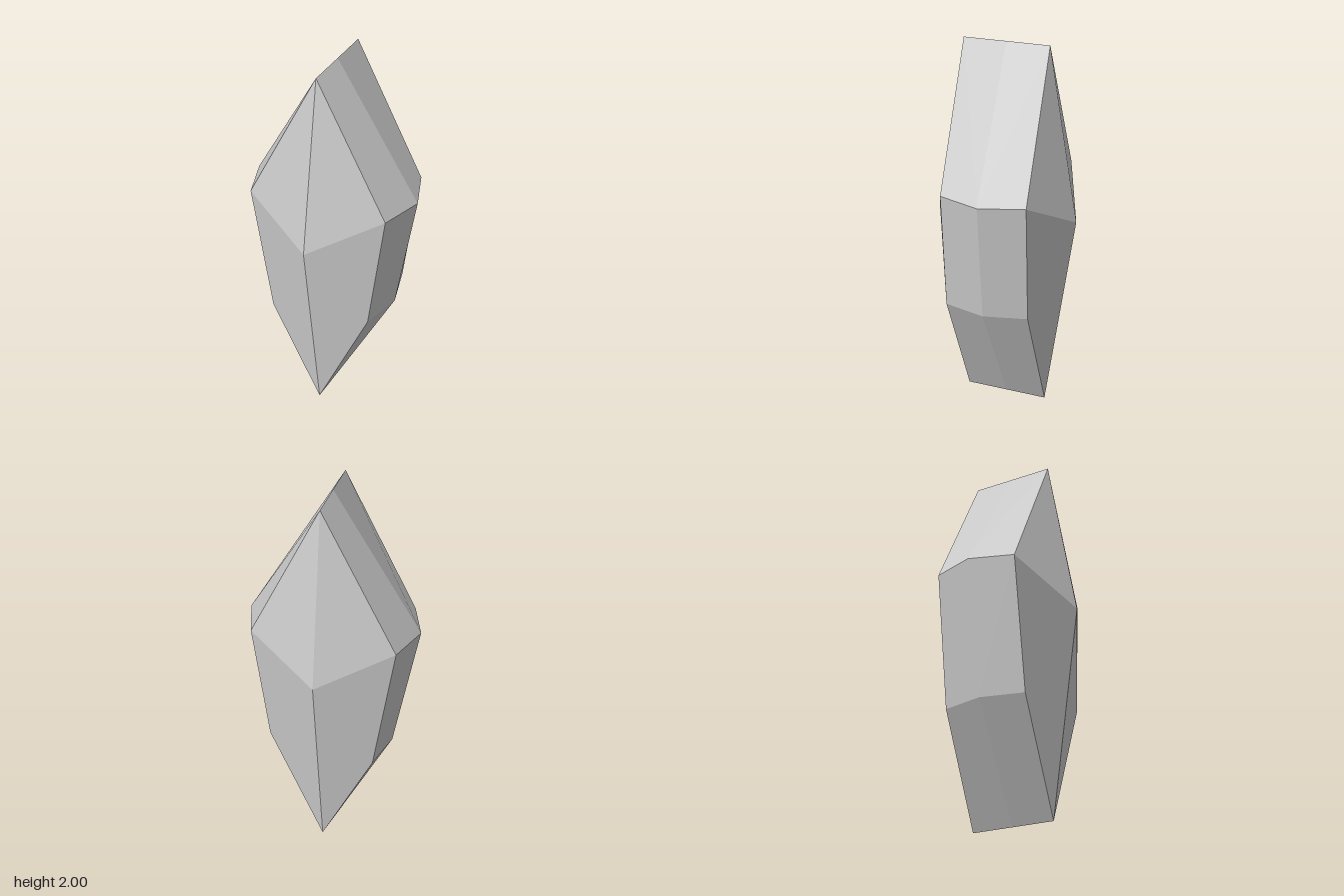
import * as THREE from 'three';

const TIP = 0.225; // half thickness of the gem's rim band

// Outline stations: inner x, ridge x, y, z shift
const top = { inner: 0.01, ridge: 0.01, y: 2, shift: 0 };
const bottom = { inner: 0.01, ridge: 0.01, y: 0, shift: 0 };
const sides = {
  left: [
    { inner: 0.37, ridge: 0.445, y: 1.293, shift: -0.015 },
    { inner: 0.295, ridge: 0.35, y: 0.65, shift: 0 },
  ],
  right: [
    { inner: -0.37, ridge: -0.447, y: 1.27, shift: 0 },
    { inner: -0.265, ridge: -0.32, y: 0.565, shift: 0 },
  ],
};

const rimPoint = (s, dir) => new THREE.Vector3(s.inner, s.y, dir * TIP + s.shift);
const ridgePoint = (s) => new THREE.Vector3(s.ridge, s.y, s.shift);

// Flat-shaded facets; each one is fanned from its first corner and turned outward
function facetGeometry(facets) {
  const positions = [];
  const normals = [];
  const centre = new THREE.Vector3(0, 1, 0);
  for (const facet of facets) {
    let pts = facet;
    const normal = new THREE.Vector3();
    const middle = new THREE.Vector3();
    pts.forEach((p, i) => {
      const a = p.clone().sub(pts[0]);
      const b = pts[(i + 1) % pts.length].clone().sub(pts[0]);
      normal.add(a.cross(b));
      middle.addScaledVector(p, 1 / pts.length);
    });
    normal.normalize();
    if (normal.dot(middle.sub(centre)) < 0) {
      normal.negate();
      pts = [pts[0], ...pts.slice(1).reverse()];
    }
    for (let i = 1; i < pts.length - 1; i++) {
      for (const p of [pts[0], pts[i], pts[i + 1]]) {
        positions.push(p.x, p.y, p.z);
        normals.push(normal.x, normal.y, normal.z);
      }
    }
  }
  const geometry = new THREE.BufferGeometry();
  geometry.setAttribute('position', new THREE.Float32BufferAttribute(positions, 3));
  geometry.setAttribute('normal', new THREE.Float32BufferAttribute(normals, 3));
  return geometry;
}

export function createModel() {
  const group = new THREE.Group();
  group.name = 'crystal';
  const stone = new THREE.MeshStandardMaterial({ color: 0xcccccc });
  stone.name = 'pale grey stone';

  const add = (name, facets) => {
    const mesh = new THREE.Mesh(facetGeometry(facets), stone);
    mesh.name = name;
    group.add(mesh);
  };

  // Pointed front and back: an upper triangle and a lower facet on each side
  for (const [name, dir] of [['frontFacets', 1], ['backFacets', -1]]) {
    const apex = new THREE.Vector3(0.01, 1.095, dir * 0.38);
    const facets = [];
    for (const [upper, lower] of Object.values(sides)) {
      const shoulder = rimPoint(upper, dir);
      facets.push([apex, rimPoint(top, dir), shoulder]);
      facets.push([apex, shoulder, rimPoint(lower, dir), rimPoint(bottom, dir)]);
    }
    add(name, facets);
  }

  // Rim bands, sloping from the ridge to the front and back
  for (const [name, [upper, lower]] of Object.entries(sides)) {
    const facets = [];
    for (const dir of [1, -1]) {
      for (const [a, b] of [[top, upper], [upper, lower], [bottom, lower]]) {
        facets.push([rimPoint(a, dir), rimPoint(b, dir), ridgePoint(b), ridgePoint(a)]);
      }
    }
    add(name + 'Rim', facets);
  }
  return group;
}
